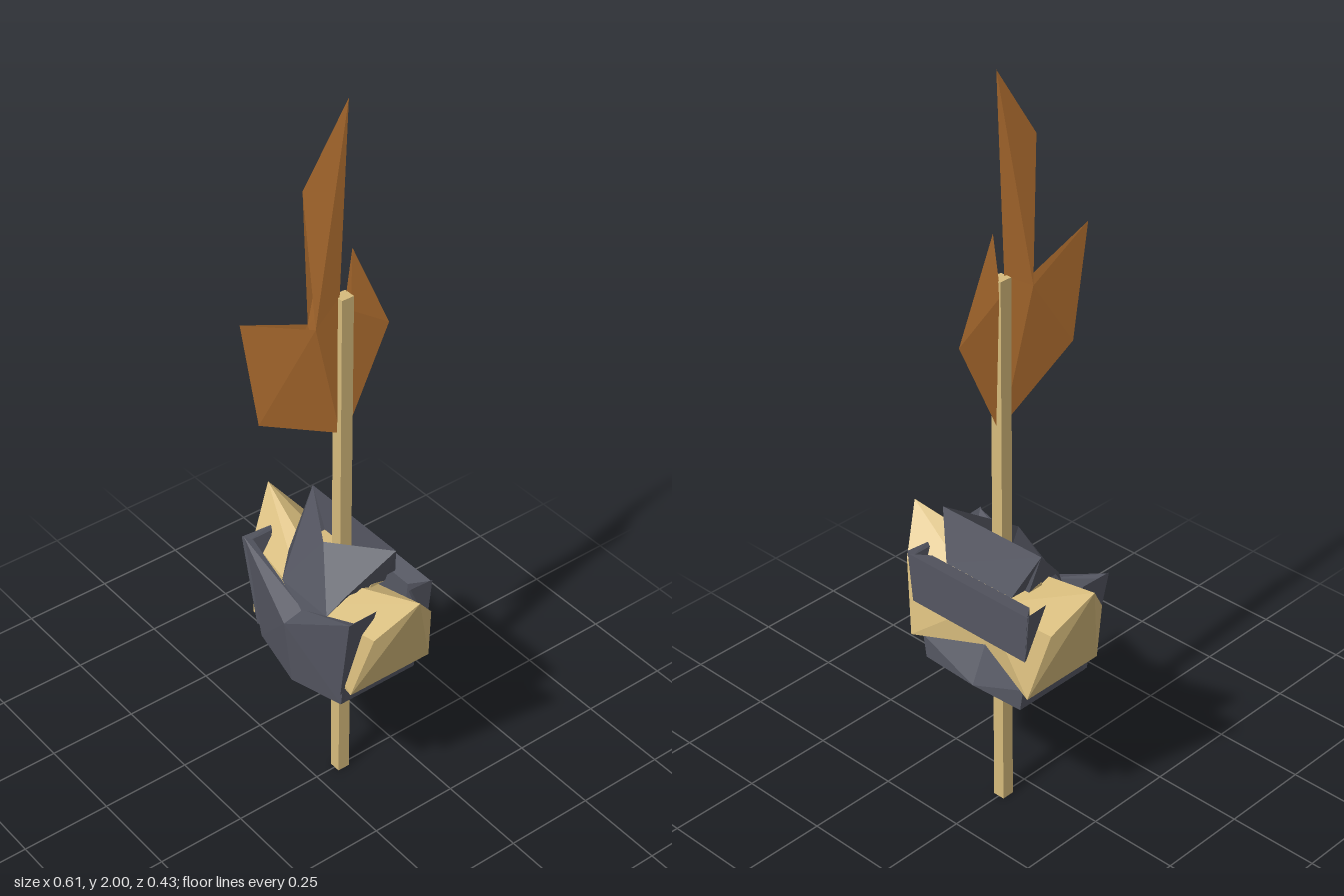
import * as THREE from 'three';
import { ConvexGeometry } from 'three/addons/geometries/ConvexGeometry.js';

const V = (p) => new THREE.Vector3(...p);
const flip = (p) => [-p[0], p[1], p[2]];

function makeMaterial(name, color, side = THREE.FrontSide) {
  const m = new THREE.MeshStandardMaterial({ color, side, flatShading: true });
  m.name = name;
  return m;
}

export function createModel() {
  const model = new THREE.Group();
  const tan = makeMaterial('tan', 0xd6bb7c);
  const grey = makeMaterial('slate grey', 0x555762, THREE.DoubleSide);
  const orange = makeMaterial('burnt orange', 0xcd8139, THREE.DoubleSide);

  const add = (name, geometry, material) => {
    const mesh = new THREE.Mesh(geometry, material);
    mesh.name = name;
    model.add(mesh);
    return mesh;
  };
  const hull = (name, pts, material) => add(name, new ConvexGeometry(pts.map(V)), material);
  // A faceted half on the model's left and its mirror on the right
  const hullPair = (name, pts, material) => {
    hull(name + 'Left', pts, material);
    hull(name + 'Right', pts.map(flip), material);
  };
  const faces = (name, tris, material) => {
    const g = new THREE.BufferGeometry();
    g.setAttribute('position', new THREE.Float32BufferAttribute(tris.flat(2), 3));
    g.computeVertexNormals();
    return add(name, g, material);
  };

  // Pole through the whole model
  const pole = add('pole', new THREE.BoxGeometry(0.033, 1.49, 0.035), tan);
  pole.position.set(0, 0.745, -0.0775);

  // Shoulder body: gabled halves rising to pointed shoulder tips
  hullPair('shoulderBody', [
    [0.2, 0.465, 0.05], [0.2, 0.465, -0.2],
    [0.245, 0.655, 0.015], [0.245, 0.655, -0.165], [0.303, 0.765, -0.078],
    [0, 0.5, 0.04], [0, 0.5, -0.14],
    [0, 0.62, 0.04], [0, 0.62, -0.14], [0, 0.675, -0.02],
  ], tan);

  // Waist block under the shoulders
  hullPair('waist', [
    [0, 0.392, 0.078], [0.162, 0.407, 0.05], [0.162, 0.407, -0.185], [0, 0.4, -0.185],
    [0, 0.5, 0.08], [0.172, 0.47, 0.05], [0.172, 0.47, -0.185], [0, 0.5, -0.14],
  ], grey);

  // Chest plate with a V neckline, and its folded side edges
  hullPair('chestPlate', [
    [0, 0.39, 0.08], [0, 0.59, 0.103], [0.165, 0.41, 0.052], [0.215, 0.71, 0.065],
    [0, 0.41, 0.04], [0, 0.605, 0.045], [0.16, 0.42, 0.02], [0.205, 0.7, 0.045],
  ], grey);
  hullPair('chestEdge', [
    [0.217, 0.712, 0.07], [0.204, 0.7, 0.06], [0.212, 0.71, -0.018], [0.204, 0.7, -0.015],
    [0.172, 0.45, 0.06], [0.165, 0.45, 0.05], [0.175, 0.47, 0.03],
  ], grey);

  // Back plate with small folded ends
  hull('backPlate', [1, -1].flatMap((s) => [
    [s * 0.2, 0.705, -0.2], [s * 0.19, 0.57, -0.198],
    [s * 0.165, 0.695, -0.155], [s * 0.16, 0.58, -0.15],
  ]), grey);
  hullPair('backPlateEnd', [
    [0.205, 0.712, -0.2], [0.193, 0.7, -0.195], [0.2, 0.71, -0.135],
    [0.193, 0.7, -0.135], [0.192, 0.57, -0.198], [0.184, 0.57, -0.19],
  ], grey);

  // Open faceted collar
  const rim = [0.165, 0.82, -0.115], peak = [0, 0.79, -0.02], side = [0.115, 0.7, 0];
  const low = [0.09, 0.64, 0.04], chin = [0, 0.6, 0.05];
  const back = [0.11, 0.7, -0.16], inner = [0.125, 0.7, -0.115];
  const half = [
    [low, rim, peak], [low, side, rim], [side, back, rim], [rim, inner, side],
  ];
  faces('collar', [
    ...half, ...half.map((t) => [flip(t[0]), flip(t[2]), flip(t[1])]),
    [flip(low), low, peak], [flip(low), chin, low],
    [back, flip(back), flip(rim)], [back, flip(rim), rim],
    [flip(inner), inner, rim], [flip(inner), rim, flip(rim)],
  ], grey);
  hull('collarFloor', [0.7, 0.708].flatMap((y) => [
    [0.125, y, -0.115], [-0.125, y, -0.115], [0.125, y, -0.07], [-0.125, y, -0.07], [0, y, 0],
  ]), tan);

  // Flame banner: thin blades, thickest at one point and sharp around the outline
  const blade = (name, thick, [cz, cy], outline, closed) => {
    const tris = [];
    for (const s of [1, -1]) {
      for (let i = 0; i < outline.length - 1; i++) {
        const a = [0, outline[i][1], outline[i][0]];
        const b = [0, outline[i + 1][1], outline[i + 1][0]];
        const c = [s * thick, cy, cz];
        tris.push(s > 0 ? [c, a, b] : [c, b, a]);
      }
    }
    faces(name, tris, orange);
  };
  blade('frontFlame', 0.015, [0.015, 1.44], [
    [0.04, 1.81], [-0.088, 2.0], [-0.066, 1.49], [-0.07, 1.1], [0.17, 1.23], [0.218, 1.53],
  ]);
  blade('backFlame', 0.012, [-0.09, 1.45], [
    [-0.102, 1.61], [-0.215, 1.36], [-0.092, 1.1],
  ].reverse());

  return model;
}
